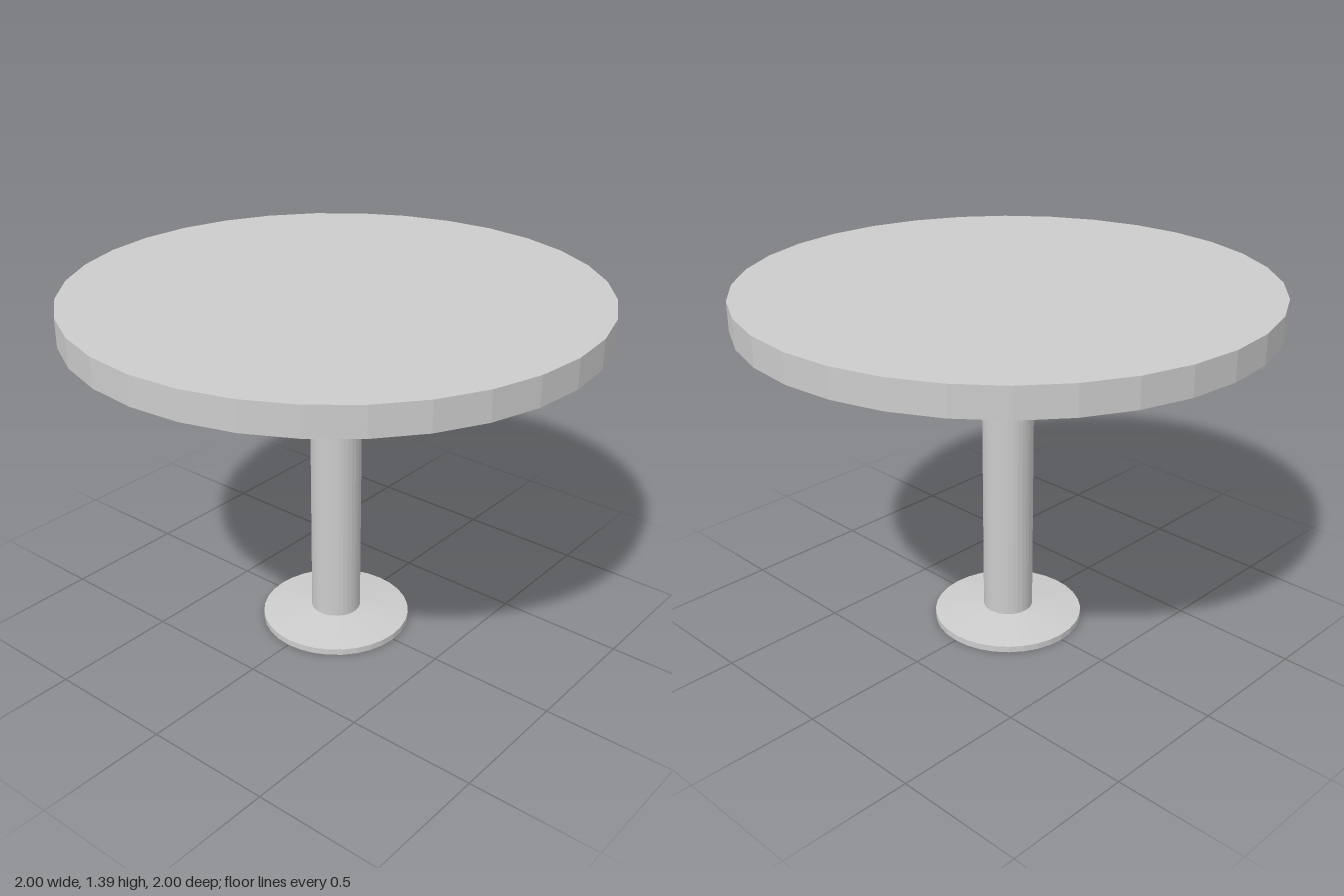
import * as THREE from 'three';

const SIDES = 32;

export function createModel() {
  const group = new THREE.Group();
  group.name = 'pedestalTable';

  const grey = new THREE.MeshStandardMaterial({ color: 0xcccccc, flatShading: true });
  grey.name = 'light grey';

  // Turned part from a bottom-to-top [radius, height] profile
  const turned = (name, profile) => {
    const points = profile.map(([r, y]) => new THREE.Vector2(r, y));
    const mesh = new THREE.Mesh(new THREE.LatheGeometry(points, SIDES), grey);
    mesh.name = name;
    group.add(mesh);
  };

  // Flat foot with a shallow cone rising to the column
  turned('foot', [[0, 0], [0.294, 0], [0.294, 0.025], [0.098, 0.05]]);

  // Straight column
  turned('column', [[0.098, 0.05], [0.098, 1.205]]);

  // Round top with a tapered underside
  turned('tableTop', [[0.098, 1.205], [1, 1.28], [1, 1.39], [0, 1.39]]);

  return group;
}
